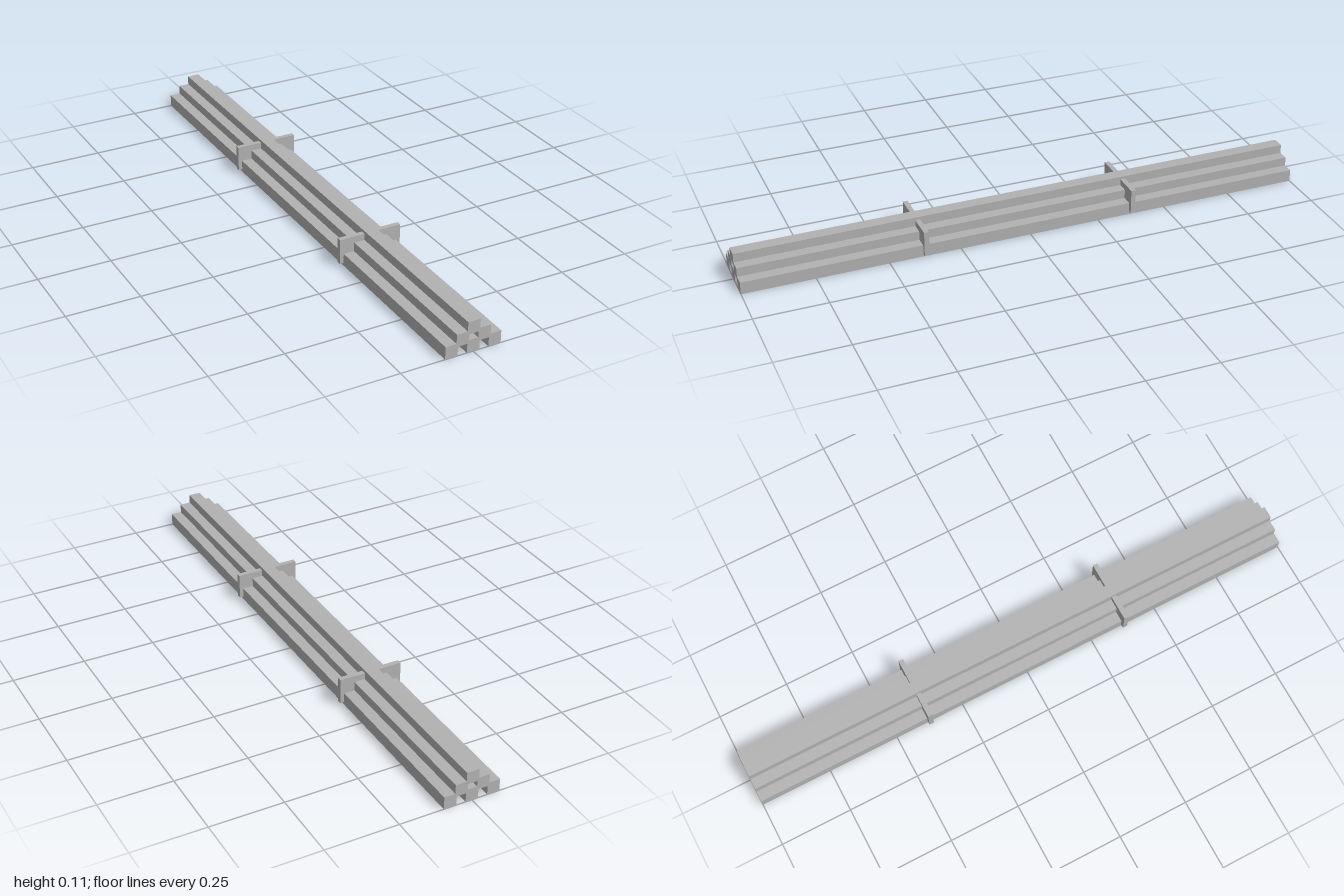
import * as THREE from 'three';

export function createModel() {
  const model = new THREE.Group();
  model.name = 'beamStack';
  const grey = new THREE.MeshStandardMaterial({ color: 0xb2b2b2 });
  grey.name = 'grey';

  const addBox = (name, size, position) => {
    const mesh = new THREE.Mesh(new THREE.BoxGeometry(...size), grey);
    mesh.name = name;
    mesh.position.set(...position);
    model.add(mesh);
  };

  // Pyramid of long square beams: three, two, one, each row nested into the last
  const side = 0.0435, pitch = 0.076, rise = 0.032;
  for (let row = 0; row < 3; row++) {
    const count = 3 - row;
    for (let i = 0; i < count; i++) {
      const x = (i - (count - 1) / 2) * pitch;
      addBox(`beamRow${row + 1}Number${i + 1}`, [side, side, 2], [x, side / 2 + row * rise, 0]);
    }
  }

  // Thin cross plates holding the stack together
  for (const end of [1, -1]) {
    addBox(end > 0 ? 'frontPlate' : 'backPlate', [0.223, 0.088, 0.017], [0, 0.054, end * 0.375]);
  }
  return model;
}
